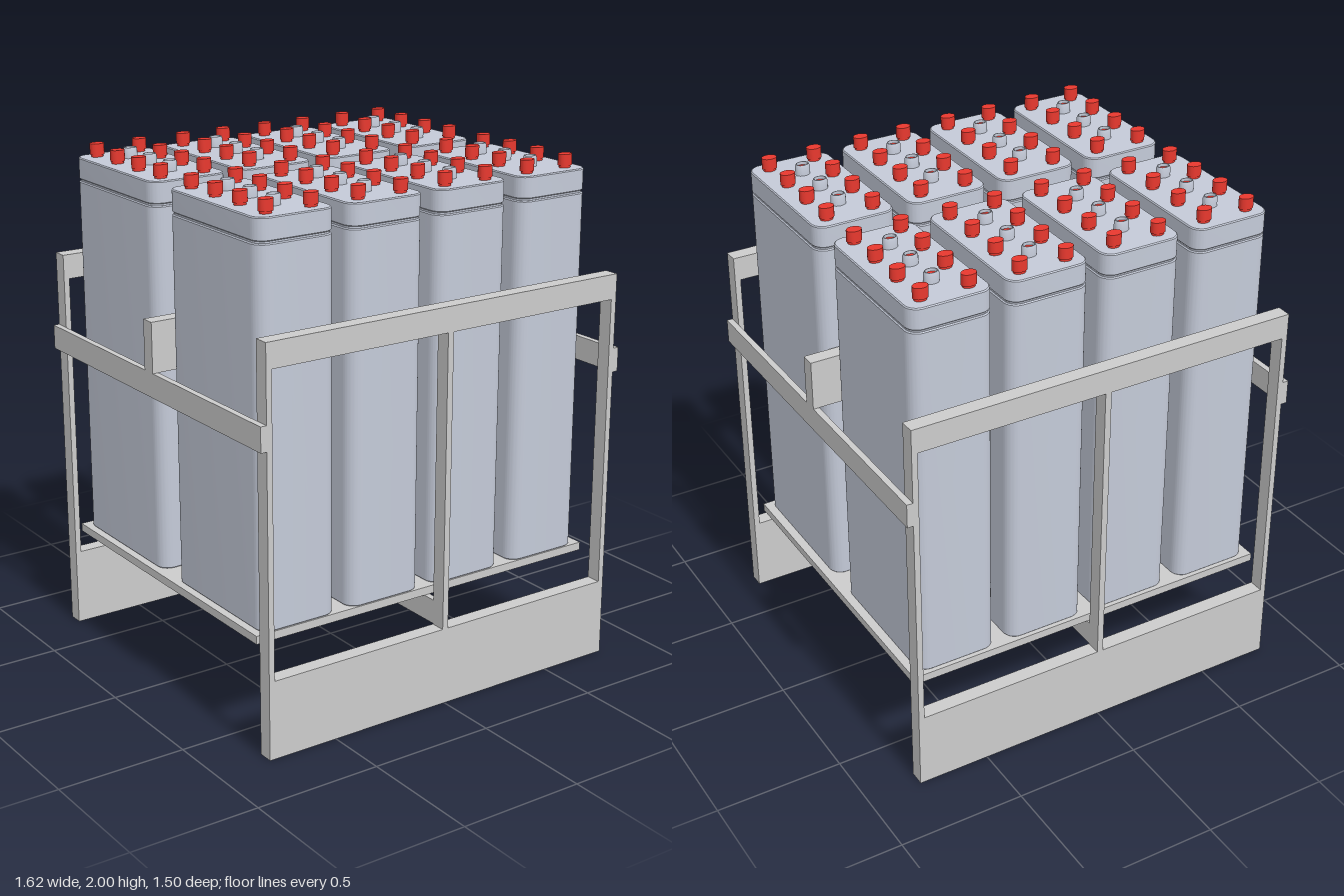
import * as THREE from 'three';
import { toCreasedNormals } from 'three/addons/utils/BufferGeometryUtils.js';

const steel = new THREE.MeshStandardMaterial({ color: 0xcccccc });
const casing = new THREE.MeshStandardMaterial({ color: 0xc4cad8 });
const red = new THREE.MeshStandardMaterial({ color: 0xe8382e });

function mesh(name, geometry, material) {
  const m = new THREE.Mesh(geometry, material);
  m.name = name;
  return m;
}

// Box given by its limits on each axis
function bar(name, [x0, x1], [y0, y1], [z0, z1]) {
  const m = mesh(name, new THREE.BoxGeometry(x1 - x0, y1 - y0, z1 - z0), steel);
  m.position.set((x0 + x1) / 2, (y0 + y1) / 2, (z0 + z1) / 2);
  return m;
}

// Upright block with rounded vertical corners and slightly eased rims
function roundedBlock(width, depth, radius, y0, y1, bevel) {
  const w = width / 2 - bevel, d = depth / 2 - bevel, r = radius - bevel;
  const s = new THREE.Shape();
  s.moveTo(-w + r, -d);
  s.lineTo(w - r, -d);
  s.absarc(w - r, -d + r, r, -Math.PI / 2, 0);
  s.lineTo(w, d - r);
  s.absarc(w - r, d - r, r, 0, Math.PI / 2);
  s.lineTo(-w + r, d);
  s.absarc(-w + r, d - r, r, Math.PI / 2, Math.PI);
  s.lineTo(-w, -d + r);
  s.absarc(-w + r, -d + r, r, Math.PI, Math.PI * 1.5);
  const g = new THREE.ExtrudeGeometry(s, {
    depth: y1 - y0 - 2 * bevel, curveSegments: 8,
    bevelEnabled: bevel > 0, bevelSize: bevel, bevelThickness: bevel, bevelSegments: 1,
  });
  g.rotateX(-Math.PI / 2).translate(0, y0 + bevel, 0);
  return toCreasedNormals(g, 0.5);
}

// Oval turned part from [radius, y] pairs
function ovalLathe(points) {
  const g = new THREE.LatheGeometry(points.map(([r, y]) => new THREE.Vector2(r, y)), 20);
  return toCreasedNormals(g.scale(1, 1, 0.77).toNonIndexed(), 0.6);
}

function createCell(parts) {
  const cell = new THREE.Group();
  cell.name = 'batteryCell';
  cell.add(
    mesh('cellBody', parts.body, casing),
    mesh('lidGroove', parts.groove, casing),
    mesh('cellLid', parts.lid, casing),
  );
  // Two rows of four terminals
  for (const x of [-0.092, 0.092]) {
    for (const z of [-0.24, -0.08, 0.08, 0.24]) {
      const t = mesh('terminal', parts.terminal, red);
      t.position.set(x, 1.945, z);
      cell.add(t);
    }
  }
  // Filler necks along the middle, each with a sunken red plug
  for (const z of [-0.148, 0, 0.148]) {
    const neck = mesh('fillerNeck', parts.neck, casing);
    const plug = mesh('fillerPlug', parts.plug, red);
    neck.position.set(0, 1.945, z);
    plug.position.set(0, 1.945, z);
    cell.add(neck, plug);
  }
  return cell;
}

export function createModel() {
  const model = new THREE.Group();
  model.name = 'batteryRack';

  // Front and back frames
  for (const side of [-1, 1]) {
    const z = side > 0 ? [0.69, 0.75] : [-0.75, -0.69];
    const frame = new THREE.Group();
    frame.name = side > 0 ? 'frontFrame' : 'backFrame';
    frame.add(
      bar('kickPlate', [-0.787, 0.787], [0, 0.307], z),
      bar('topRail', [-0.787, 0.787], [1.46, 1.557], z),
      bar('rightPost', [-0.787, -0.764], [0.307, 1.46], z),
      bar('leftPost', [0.764, 0.787], [0.307, 1.46], z),
      bar('centrePost', [-0.014, 0.011], [0.307, 1.46], z),
    );
    model.add(frame);
  }

  // Side rails, cross bar, and the joist carrying the tray
  model.add(
    bar('rightSideRail', [-0.811, -0.787], [1.17, 1.265], [-0.75, 0.75]),
    bar('leftSideRail', [0.787, 0.811], [1.17, 1.265], [-0.75, 0.75]),
    bar('crossBar', [-0.811, 0.811], [1.265, 1.46], [-0.029, 0.029]),
    bar('joist', [-0.014, 0.011], [0.31, 0.405], [-0.69, 0.69]),
    bar('tray', [-0.765, 0.762], [0.405, 0.437], [-0.673, 0.636]),
  );

  // Two rows of four battery cells
  const parts = {
    body: roundedBlock(0.322, 0.596, 0.05, 0.437, 1.857, 0.004),
    groove: roundedBlock(0.31, 0.584, 0.045, 1.85, 1.87, 0),
    lid: roundedBlock(0.322, 0.596, 0.05, 1.864, 1.948, 0.004),
    terminal: ovalLathe([[0.024, 0], [0.024, 0.012], [0.029, 0.012], [0.029, 0.055], [0, 0.055]]),
    neck: ovalLathe([[0.029, 0], [0.029, 0.034], [0.025, 0.044], [0.022, 0.044], [0.022, 0.03]]),
    plug: ovalLathe([[0.022, 0], [0.022, 0.032], [0, 0.032]]),
  };
  for (const x of [-0.577, -0.195, 0.186, 0.568]) {
    for (const z of [-0.36, 0.336]) {
      const cell = createCell(parts);
      cell.position.set(x, 0, z);
      model.add(cell);
    }
  }
  return model;
}
